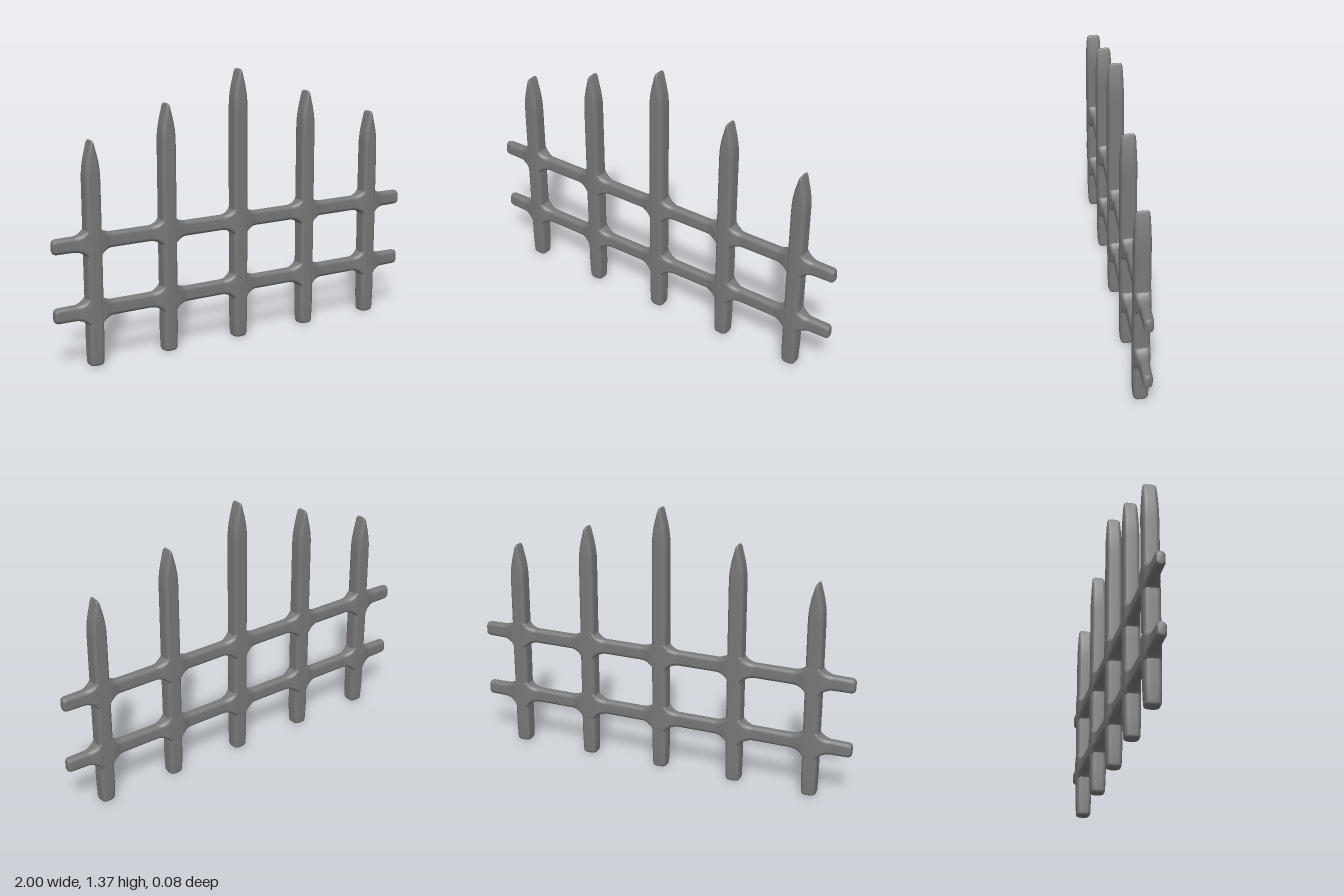
import * as THREE from 'three';

const CORNER_STEPS = 5;

// Rounded-rectangle outline in x/z with half sizes a, b
function ring(y, a, b, radius) {
  const r = Math.min(radius, a, b);
  const points = [];
  for (let c = 0; c < 4; c++) {
    const sx = c === 0 || c === 3 ? 1 : -1;
    const sz = c < 2 ? 1 : -1;
    for (let k = 0; k <= CORNER_STEPS; k++) {
      const t = (c + k / CORNER_STEPS) * Math.PI / 2;
      points.push([sx * (a - r) + r * Math.cos(t), y, sz * (b - r) + r * Math.sin(t)]);
    }
  }
  return points;
}

// Skin rounded cross-sections [y, halfX, halfZ] along y and close both ends
function loft(sections, radius) {
  const n = 4 * (CORNER_STEPS + 1);
  const pos = [], index = [];
  for (const [y, a, b] of sections) pos.push(...ring(y, a, b, radius).flat());
  for (let i = 0; i < sections.length - 1; i++) {
    for (let j = 0; j < n; j++) {
      const p = i * n + j, q = i * n + (j + 1) % n;
      index.push(p, p + n, q, q, p + n, q + n);
    }
  }
  const last = (sections.length - 1) * n;
  const bottom = pos.length / 3, top = bottom + 1;
  pos.push(0, sections[0][0], 0, 0, sections[sections.length - 1][0], 0);
  for (let j = 0; j < n; j++) {
    const k = (j + 1) % n;
    index.push(bottom, j, k, top, last + k, last + j);
  }
  const geometry = new THREE.BufferGeometry();
  geometry.setAttribute('position', new THREE.Float32BufferAttribute(pos, 3));
  geometry.setIndex(index);
  geometry.computeVertexNormals();
  return geometry;
}

const picketXs = [-0.797, -0.4, 0, 0.4, 0.797];
const picketTops = [1.09, 1.228, 1.365, 1.228, 1.09];
const railYs = [0.272, 0.606];

// Post with a softened foot and a rounded wedge-shaped point
function picketGeometry(h) {
  return loft([
    [0, 0.026, 0.026], [0.004, 0.033, 0.033], [0.014, 0.036, 0.036],
    [0.1, 0.038, 0.039], [0.5, 0.039, 0.04], [h - 0.2, 0.039, 0.039],
    [h - 0.155, 0.038, 0.039], [h - 0.12, 0.035, 0.038], [h - 0.08, 0.028, 0.037],
    [h - 0.04, 0.017, 0.036], [h - 0.014, 0.009, 0.033], [h - 0.004, 0.005, 0.028],
    [h, 0.002, 0.02],
  ], 0.02);
}

// Bar that flares into a fillet wherever it meets a picket
function railGeometry() {
  const sections = [[-1, 0.026, 0.014], [-0.996, 0.033, 0.02], [-0.985, 0.037, 0.023]];
  for (const x of picketXs) {
    const half = [];
    for (let k = 0; k <= 8; k++) {
      const d = 0.03 + 0.07 * k / 8;
      const s = 1 - k / 8;
      const rise = 0.05 * (1 - Math.sqrt(1 - Math.pow(s * 0.98, 2)));
      half.push([d, 0.038 + rise, 0.024 + 0.014 * s * s * (3 - 2 * s)]);
    }
    for (const [d, a, b] of [...half].reverse()) sections.push([x - d, a, b]);
    for (const [d, a, b] of half) sections.push([x + d, a, b]);
  }
  sections.push([0.985, 0.037, 0.023], [0.996, 0.033, 0.02], [1, 0.026, 0.014]);
  return loft(sections, 0.02).rotateZ(-Math.PI / 2);
}

export function createModel() {
  const fence = new THREE.Group();
  fence.name = 'fence';
  const material = new THREE.MeshStandardMaterial({ color: 0x787878 });

  // Upright pickets, tallest in the middle
  picketXs.forEach((x, i) => {
    const picket = new THREE.Mesh(picketGeometry(picketTops[i]), material);
    picket.name = `picket${i + 1}`;
    picket.position.x = x;
    fence.add(picket);
  });

  // Horizontal rails
  const rail = railGeometry();
  railYs.forEach((y, i) => {
    const mesh = new THREE.Mesh(rail, material);
    mesh.name = i === 0 ? 'lowerRail' : 'upperRail';
    mesh.position.set(0, y, -0.002);
    fence.add(mesh);
  });

  return fence;
}
